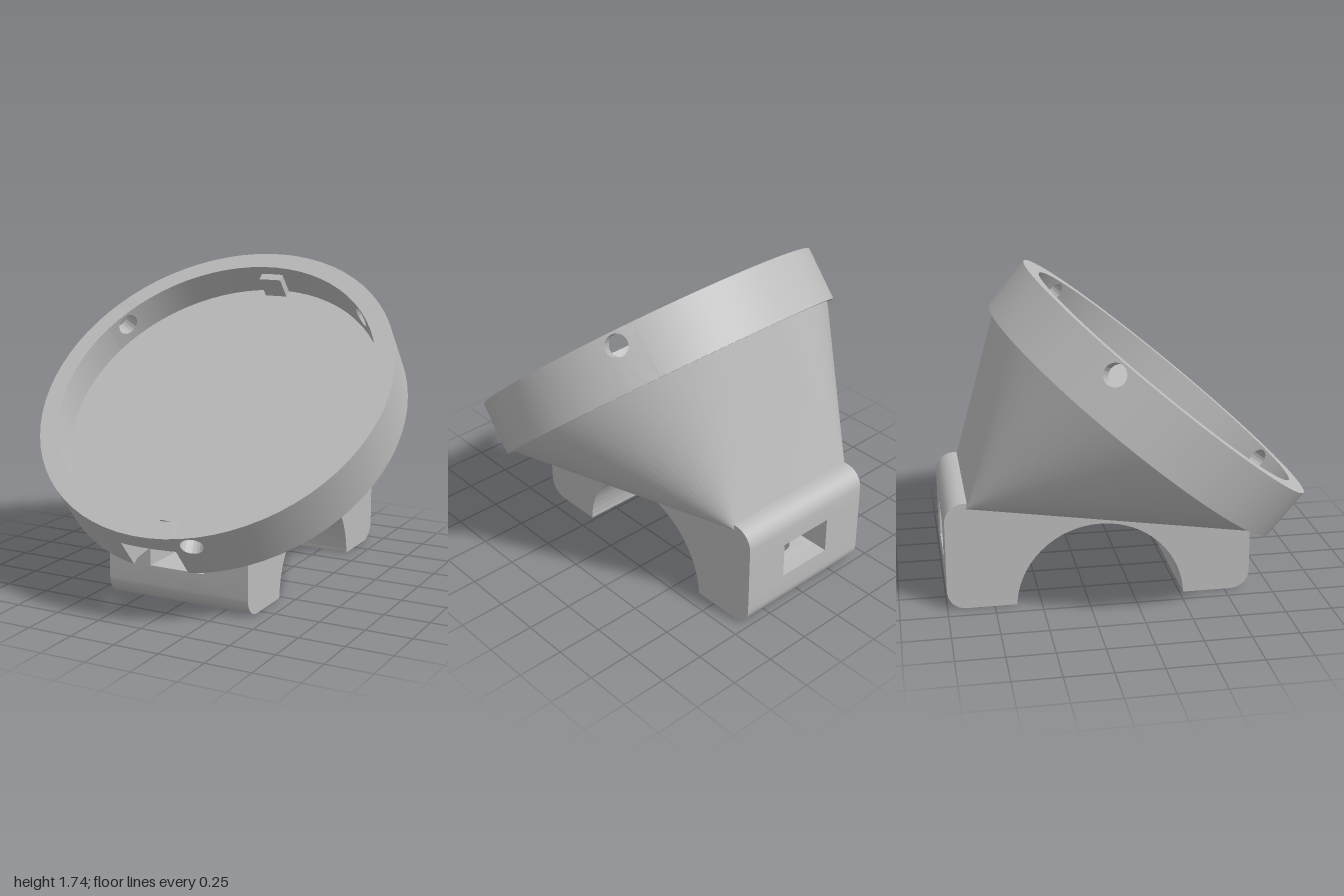
import * as THREE from 'three';
import { toCreasedNormals } from 'three/addons/utils/BufferGeometryUtils.js';

const V = (x, y, z) => new THREE.Vector3(x, y, z);
const EPS = 1e-6;

// A solid is a list of convex faces, each a list of points wound outward.
const middle = (pts) => pts.reduce((s, p) => s.add(p), V(0, 0, 0)).divideScalar(pts.length);

function faceNormal(f) {
  const n = V(0, 0, 0);
  f.forEach((p, i) => n.add(p.clone().cross(f[(i + 1) % f.length])));
  return n.normalize();
}

// Convex solid spanned between two outlines with equal point counts
function loft(a, b) {
  const centre = middle([...a, ...b]);
  const faces = [a, b];
  a.forEach((p, i) => {
    const j = (i + 1) % a.length;
    faces.push([p, a[j], b[j], b[i]].filter((q, k, all) => all.findIndex((o) => o.distanceTo(q) < EPS) === k));
  });
  return faces
    .filter((f) => f.length > 2 && faceNormal(f).length() > 0.5)
    .map((f) => (faceNormal(f).dot(middle(f).sub(centre)) < 0 ? [...f].reverse() : f));
}

// Part of a convex solid with n.p <= c, closed by a cap
function clip(solid, n, c) {
  const d = (p) => n.dot(p) - c;
  const all = solid.flat().map(d);
  if (!all.some((v) => v < -EPS)) return [];
  if (!all.some((v) => v > EPS)) return solid;
  const out = [], rim = [];
  for (const f of solid) {
    const g = [];
    f.forEach((p, i) => {
      const q = f[(i + 1) % f.length], dp = d(p), dq = d(q);
      if (dp <= EPS) g.push(p);
      if (Math.abs(dp) <= EPS) rim.push(p);
      if ((dp < -EPS && dq > EPS) || (dp > EPS && dq < -EPS)) {
        const m = p.clone().lerp(q, dp / (dp - dq));
        g.push(m);
        rim.push(m);
      }
    });
    if (g.length > 2 && g.some((p) => d(p) < -EPS)) out.push(g);
  }
  const cap = rim.filter((p, i) => rim.findIndex((o) => o.distanceTo(p) < EPS) === i);
  if (cap.length > 2) {
    const m = middle(cap);
    const u = cap[0].clone().sub(m).normalize(), w = n.clone().cross(u);
    const angle = (p) => Math.atan2(p.clone().sub(m).dot(w), p.clone().sub(m).dot(u));
    out.push(cap.sort((p, q) => angle(p) - angle(q)));
  }
  return out;
}

// Remove a convex cutter from a list of convex solids
function subtract(solids, cutter) {
  return solids.flatMap((solid) => {
    const kept = [];
    let rest = solid;
    for (const f of cutter) {
      const n = faceNormal(f), c = n.dot(f[0]);
      kept.push(clip(rest, n.clone().negate(), -c));
      rest = clip(rest, n, c);
      if (!rest.length) return [solid];
    }
    return kept.filter((k) => k.length);
  });
}

function toMesh(name, solids, material) {
  const pos = [];
  for (const f of solids.flat()) {
    for (let i = 1; i + 1 < f.length; i++) {
      const area = f[i].clone().sub(f[0]).cross(f[i + 1].clone().sub(f[0])).length();
      if (area > 1e-9) [f[0], f[i], f[i + 1]].forEach((p) => pos.push(p.x, p.y, p.z));
    }
  }
  const g = new THREE.BufferGeometry();
  g.setAttribute('position', new THREE.Float32BufferAttribute(pos, 3));
  const mesh = new THREE.Mesh(toCreasedNormals(g, 0.35), material);
  mesh.name = name;
  return mesh;
}

// Dish frame: x across, v up the tilted face, d depth behind the rim
const TILT = (40 * Math.PI) / 180, C = Math.cos(TILT), S = Math.sin(TILT);
const dish = (x, v, d) => V(x, 1.1075 + S * v - C * d, 0.245 - C * v - S * d);
const dishBox = (w, v0, v1, d0, d1) => {
  const rect = (d) => [dish(-w, v0, d), dish(w, v0, d), dish(w, v1, d), dish(-w, v1, d)];
  return loft(rect(d0), rect(d1));
};

const N = 72;
const theta = (i) => ((i + 0.5) / N) * Math.PI * 2;
const disc = (r, d) => Array.from({ length: N }, (_, i) => dish(r * Math.sin(theta(i)), r * Math.cos(theta(i)), d));

const circle = (n, fn) => Array.from({ length: n }, (_, i) => fn(Math.cos((i / n) * Math.PI * 2), Math.sin((i / n) * Math.PI * 2)));
const arc = (z, y, r, from, to) => Array.from({ length: 9 }, (_, i) => {
  const a = ((from + ((to - from) * i) / 8) * Math.PI) / 180;
  return [z + r * Math.cos(a), y + r * Math.sin(a)];
});
const prism = (profile, w) => loft(profile.map(([z, y]) => V(-w, y, z)), profile.map(([z, y]) => V(w, y, z)));

export function createModel() {
  const grey = new THREE.MeshStandardMaterial({ color: 0xbcbcbc });
  grey.name = 'grey';
  const R = 0.985, RI = 0.88, DEPTH = 0.3, FLOOR = 0.186, W = 0.413;

  // Cutters: radial screw holes in the rim
  const screwHoles = [45, 165, -60].map((deg) => {
    const a = (deg * Math.PI) / 180, s = Math.sin(a), c = Math.cos(a);
    const ring = (r) => circle(20, (p, q) => dish(r * s + 0.06 * p * c, r * c - 0.06 * p * s, 0.072 + 0.06 * q));
    return loft(ring(0.8), ring(1.1));
  });

  // Cutters: bolt holes from below and hexagonal nut slots open to each end
  const boltHoles = [], nutSlots = [];
  for (const [z, s] of [[0.41, 1], [-0.77, -1]]) {
    const ring = (y) => circle(20, (p, q) => V(0.09 * p, y, z + 0.09 * q));
    boltHoles.push(loft(ring(-0.1), ring(0.45)));
    const hex = (y) => [
      V(-0.16, y, s * 1.3), V(0.16, y, s * 1.3), V(0.16, y, z - s * 0.092),
      V(0, y, z - s * 0.185), V(-0.16, y, z - s * 0.092),
    ];
    nutSlots.push(loft(hex(0.2), hex(0.4)));
  }

  // Cutters: cable slot low in the dish, and the arch between the legs
  const cableSlot = dishBox(0.06, -0.96, -0.756, 0.14, 0.2);
  const archRing = (x) => circle(64, (p, q) => V(x, -0.022 + 0.452 * q, -0.18 + 0.452 * p));
  const arch = loft(archRing(-1), archRing(1));

  // Rim, as wedge segments
  const wedge = (i) => (d) => [[RI, i], [R, i], [R, i + 1], [RI, i + 1]]
    .map(([r, k]) => dish(r * Math.sin(theta(k)), r * Math.cos(theta(k)), d));
  const rim = Array.from({ length: N }, (_, i) => loft(wedge(i)(0), wedge(i)(DEPTH)));

  const floor = [loft(disc(RI, FLOOR), disc(RI, DEPTH))];

  // Tapering body from the dish to a straight edge at the back of the base
  const back = disc(0.95, DEPTH);
  const body = [loft(back, back.map((p) => V(Math.sign(p.x) * W, 0.56, -0.885)))];

  // Base block with rounded corners
  const base = [
    prism([...arc(0.535, 0.1, 0.1, -90, 0), [0.635, 0.37], [-0.88, 0.565], [-0.88, 0]], W),
    prism([[-0.88, 0], ...arc(-0.9, 0.1, 0.1, 270, 180), ...arc(-0.9, 0.49, 0.1, 180, 90), [-0.88, 0.59]], W),
  ];

  const cut = (solids, cutters) => cutters.reduce(subtract, solids);
  const group = new THREE.Group();
  group.name = 'tiltedDishMount';
  group.add(
    toMesh('rim', cut(rim, [...screwHoles, nutSlots[0], cableSlot]), grey),
    toMesh('dishFloor', cut(floor, [nutSlots[0], cableSlot]), grey),
    toMesh('locatingTab', [dishBox(0.065, 0.835, 0.9, 0.055, 0.2)], grey),
    toMesh('taperedBody', cut(body, [...nutSlots, ...boltHoles, cableSlot]), grey),
    toMesh('archedBase', cut(base, [arch, ...nutSlots, ...boltHoles]), grey),
  );
  return group;
}
